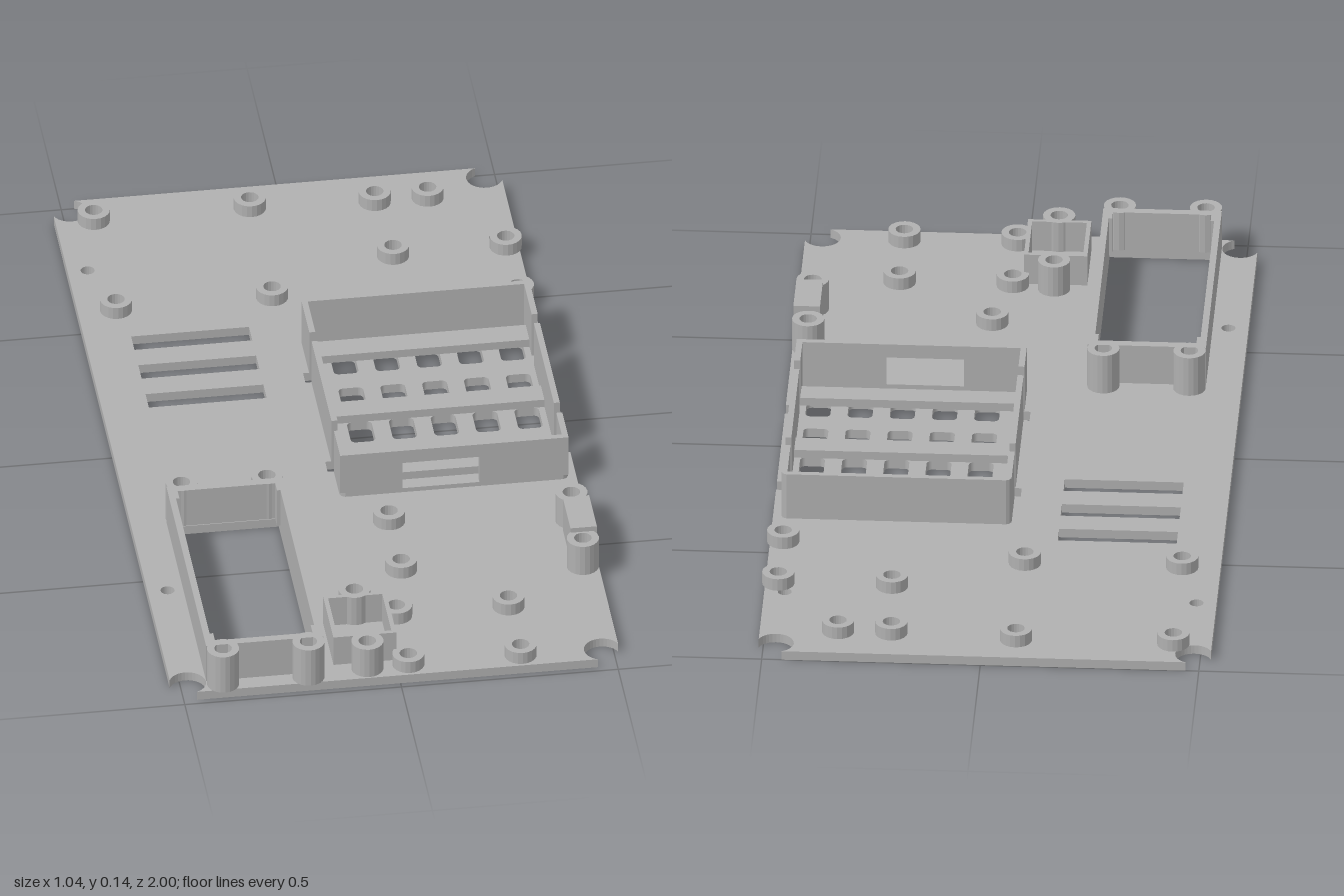
import * as THREE from 'three';

const BASE = 0.022; // plate thickness

export function createModel() {
  const model = new THREE.Group();
  const grey = new THREE.MeshStandardMaterial({ color: 0xb0b0b0 });
  grey.name = 'plain grey';

  const add = (name, geometry, parent = model) => {
    const mesh = new THREE.Mesh(geometry, grey);
    mesh.name = name;
    parent.add(mesh);
    return mesh;
  };
  const group = (name) => {
    const g = new THREE.Group();
    g.name = name;
    model.add(g);
    return g;
  };
  // Box given by its limits
  const box = (name, x0, x1, y0, y1, z0, z1, parent) =>
    add(name, new THREE.BoxGeometry(x1 - x0, y1 - y0, z1 - z0)
      .translate((x0 + x1) / 2, (y0 + y1) / 2, (z0 + z1) / 2), parent);
  // Plan shape (drawn with y = -z) raised from y0 to y1
  const raise = (name, shape, y0, y1, parent) =>
    add(name, new THREE.ExtrudeGeometry(shape, { depth: y1 - y0, bevelEnabled: false, curveSegments: 10 })
      .rotateX(-Math.PI / 2).translate(0, y0, 0), parent);
  const circle = (path, x, z, r) => path.absarc(x, -z, r, 0, Math.PI * 2, false);
  const boss = (name, x, z, top, parent) => {
    const ring = circle(new THREE.Shape(), x, z, 0.037);
    ring.holes.push(circle(new THREE.Path(), x, z, 0.02));
    return raise(name, ring, BASE, top, parent);
  };
  const rectHole = (x0, x1, z0, z1, r = 0) => {
    const p = new THREE.Path();
    if (!r) {
      return p.setFromPoints([[x0, z0], [x1, z0], [x1, z1], [x0, z1]].map(([x, z]) => new THREE.Vector2(x, -z)));
    }
    p.absarc(x1 - r, -z0 - r, r, 0, Math.PI / 2);
    p.absarc(x0 + r, -z0 - r, r, Math.PI / 2, Math.PI);
    p.absarc(x0 + r, -z1 + r, r, Math.PI, Math.PI * 1.5);
    p.absarc(x1 - r, -z1 + r, r, Math.PI * 1.5, Math.PI * 2);
    p.closePath();
    return p;
  };

  // Base plate with round corner notches and edge cutouts
  const plate = new THREE.Shape();
  const d = 0.039, e = 0.016, r = Math.hypot(d, e);
  const corners = [[0.51, -0.985], [0.51, 1], [-0.525, 1], [-0.525, -0.985]];
  corners.forEach(([x, y], k) => {
    const turn = k * Math.PI / 2;
    plate.absarc(x - Math.sign(x) * d, y - Math.sign(y) * d, r,
      Math.atan2(-d, -e) + turn, Math.atan2(e, d) + turn, true);
    if (k === 0) {
      for (const [y0, y1] of [[-0.155, -0.115], [0.205, 0.243]]) {
        plate.lineTo(0.51, y0).lineTo(0.487, y0).lineTo(0.487, y1).lineTo(0.51, y1);
      }
    }
  });
  plate.closePath();
  for (const [x, z] of [[-0.479, -0.72], [0.463, -0.72], [-0.479, 0.573], [0.463, 0.573]]) {
    plate.holes.push(circle(new THREE.Path(), x, z, 0.016));
  }
  // Ventilation slots, long opening and clip holes
  for (const z of [-0.417, -0.301, -0.184]) plate.holes.push(rectHole(-0.418, -0.146, z - 0.027, z + 0.027));
  plate.holes.push(rectHole(-0.428, -0.187, 0.325, 0.93));
  for (const [z0, z1] of [[-0.243, -0.205], [0.115, 0.155]]) plate.holes.push(rectHole(-0.05, -0.022, z0, z1));
  // Grille of rounded holes
  for (let i = 0; i < 5; i++) {
    for (let j = 0; j < 4; j++) {
      const x = 0.02 + i * 0.0965, z = -0.307 + j * 0.1375;
      plate.holes.push(rectHole(x, x + 0.057, z, z + 0.08, 0.012));
    }
  }
  raise('basePlate', plate, 0, BASE);

  // Low standoffs
  const standoffs = group('standoffs');
  [[-0.437, -0.915], [-0.077, -0.915], [0.209, -0.899], [0.331, -0.899], [0.22, -0.68],
    [0.48, -0.68], [0.48, -0.484], [-0.437, -0.555], [-0.077, -0.555], [0.061, 0.37],
    [0.061, 0.566], [0.024, 0.746], [0.283, 0.746], [0.024, 0.942], [0.283, 0.942],
  ].forEach(([x, z]) => boss('standoff', x, z, 0.052, standoffs));

  // Large compartment: side walls split by clip gaps
  const bay = group('largeCompartment');
  const H = 0.137, t = 0.014, L = -0.036, R = 0.491, B = -0.376, F = 0.26;
  for (const [x0, x1] of [[L, L + t], [R - t, R]]) {
    for (const [z0, z1] of [[B + t, -0.239], [-0.203, 0.119], [0.159, F - t]]) {
      box('sideWall', x0, x1, BASE, H, z0, z1, bay);
    }
  }
  // End walls have rounded outer corners
  const endWall = (z, s) => {
    const w = new THREE.Shape(), c = 0.012;
    const pts = [[L, z - s * t], [R, z - s * t], [R, z - s * c], [R - 0.004, z - s * 0.004],
      [R - c, z], [L + c, z], [L + 0.004, z - s * 0.004], [L, z - s * c]];
    return w.setFromPoints(pts.map(([x, q]) => new THREE.Vector2(x, -q)));
  };
  raise('backWall', endWall(B, -1), BASE, H, bay);
  raise('frontWallSill', endWall(F, 1), BASE, 0.033, bay);
  box('frontWallLeft', 0.285, R, 0.033, H, F - t, F, bay);
  box('frontWallRight', L, 0.108, 0.033, H, F - t, F, bay);
  box('frontWallLintel', 0.108, 0.285, 0.103, H, F - t, F, bay);
  for (const [z0, z1] of [[-0.335, -0.275], [-0.09, -0.032], [0.155, 0.21]]) {
    box('supportRib', L + t, R - t, BASE, 0.042, z0, z1, bay);
  }

  // Long frame around the opening, with four corner bosses
  const frame = group('longFrame');
  const T = 0.12;
  for (const [x0, x1, s] of [[-0.443, -0.428, 1], [-0.187, -0.172, -1]]) {
    box('frameSide', x0, x1, BASE, T, 0.302, 0.945, frame);
    const inner = s > 0 ? x1 : x0;
    for (const [z0, z1] of [[0.322, 0.352], [0.897, 0.927]]) {
      box('frameCorner', Math.min(inner, inner + s * 0.008), Math.max(inner, inner + s * 0.008), BASE, T, z0, z1, frame);
    }
  }
  for (const [z0, z1] of [[0.302, 0.323], [0.926, 0.945]]) {
    box('frameEnd', -0.428, -0.187, BASE, T, z0, z1, frame);
  }
  for (const x of [-0.406, -0.209]) {
    for (const z of [0.287, 0.96]) boss('frameBoss', x, z, T, frame);
  }

  // Small frame with two bosses
  const small = group('smallFrame');
  const S = 0.098;
  box('smallFrameSide', -0.146, -0.136, BASE, S, 0.755, 0.922, small);
  box('smallFrameSide', -0.011, -0.001, BASE, S, 0.755, 0.922, small);
  box('smallFrameEnd', -0.136, -0.011, BASE, S, 0.755, 0.765, small);
  box('smallFrameEnd', -0.136, -0.011, BASE, S, 0.912, 0.922, small);
  for (const z of [0.735, 0.945]) boss('smallFrameBoss', -0.071, z, S, small);

  // Edge socket open to the side, held between two bosses
  const socket = group('edgeSocket');
  box('socketFloor', 0.449, 0.51, BASE, 0.055, 0.46, 0.586, socket);
  box('socketRoof', 0.449, 0.51, 0.103, 0.112, 0.46, 0.586, socket);
  box('socketBack', 0.449, 0.459, 0.055, 0.103, 0.46, 0.586, socket);
  for (const z of [0.46, 0.579]) box('socketCheek', 0.459, 0.51, 0.055, 0.103, z, z + 0.007, socket);
  for (const z of [0.424, 0.61]) boss('socketBoss', 0.474, z, 0.1, socket);

  return model;
}
